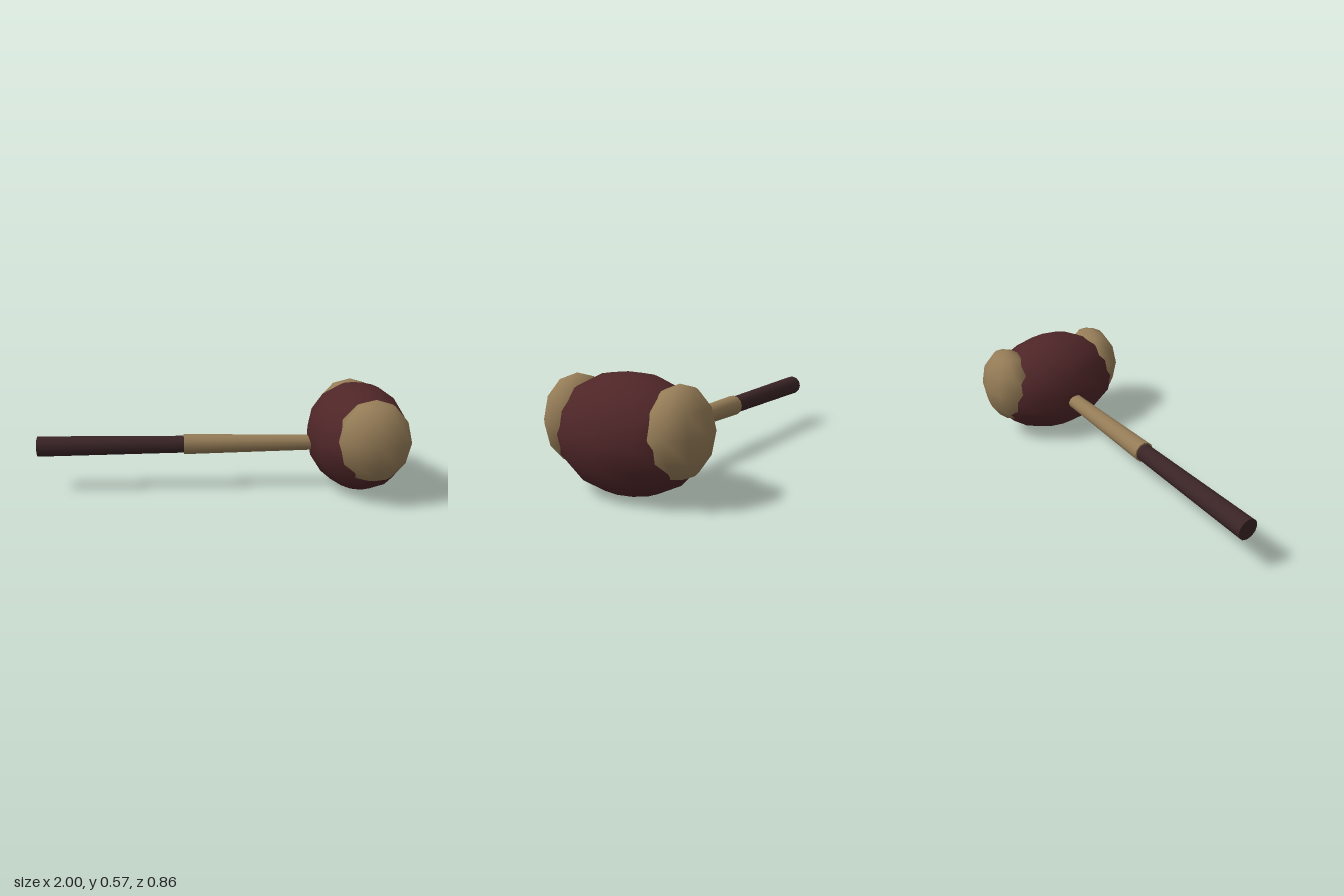
import * as THREE from 'three';

const paint = (name, color) => {
  const m = new THREE.MeshStandardMaterial({ color });
  m.name = name;
  return m;
};

export function createModel() {
  const group = new THREE.Group();
  const maroon = paint('maroon leather', 0x4f2628);
  const tan = paint('tan wood', 0x957c57);
  const darkBrown = paint('dark brown grip', 0x3a2426);

  const add = (name, geometry, material, x, y, z) => {
    const mesh = new THREE.Mesh(geometry, material);
    mesh.name = name;
    mesh.position.set(x, y, z);
    group.add(mesh);
  };

  // Tapered rod along x, from x0 (radius r0) to x1 (radius r1)
  const rod = (name, x0, r0, x1, r1, material) => {
    const geometry = new THREE.CylinderGeometry(r1, r0, x1 - x0, 12);
    geometry.rotateZ(-Math.PI / 2);
    add(name, geometry, material, (x0 + x1) / 2, 0.25, 0);
  };
  rod('grip', -1, 0.056, -0.215, 0.047, darkBrown);
  rod('shaft', -0.22, 0.056, 0.62, 0.04, tan);

  // Barrel-shaped head, stretched along z
  const head = new THREE.SphereGeometry(1, 12, 8).scale(0.274, 0.286, 0.4);
  add('head', head, maroon, 0.726, 0.287, 0);

  // Rounded striking pads sunk into both ends of the head
  for (const side of [1, -1]) {
    const pad = new THREE.SphereGeometry(1, 10, 6);
    pad.rotateY(Math.PI / 2).scale(0.191, 0.215, 0.142);
    add(side > 0 ? 'frontPad' : 'backPad', pad, tan, 0.744, 0.331, side * 0.29);
  }
  return group;
}
